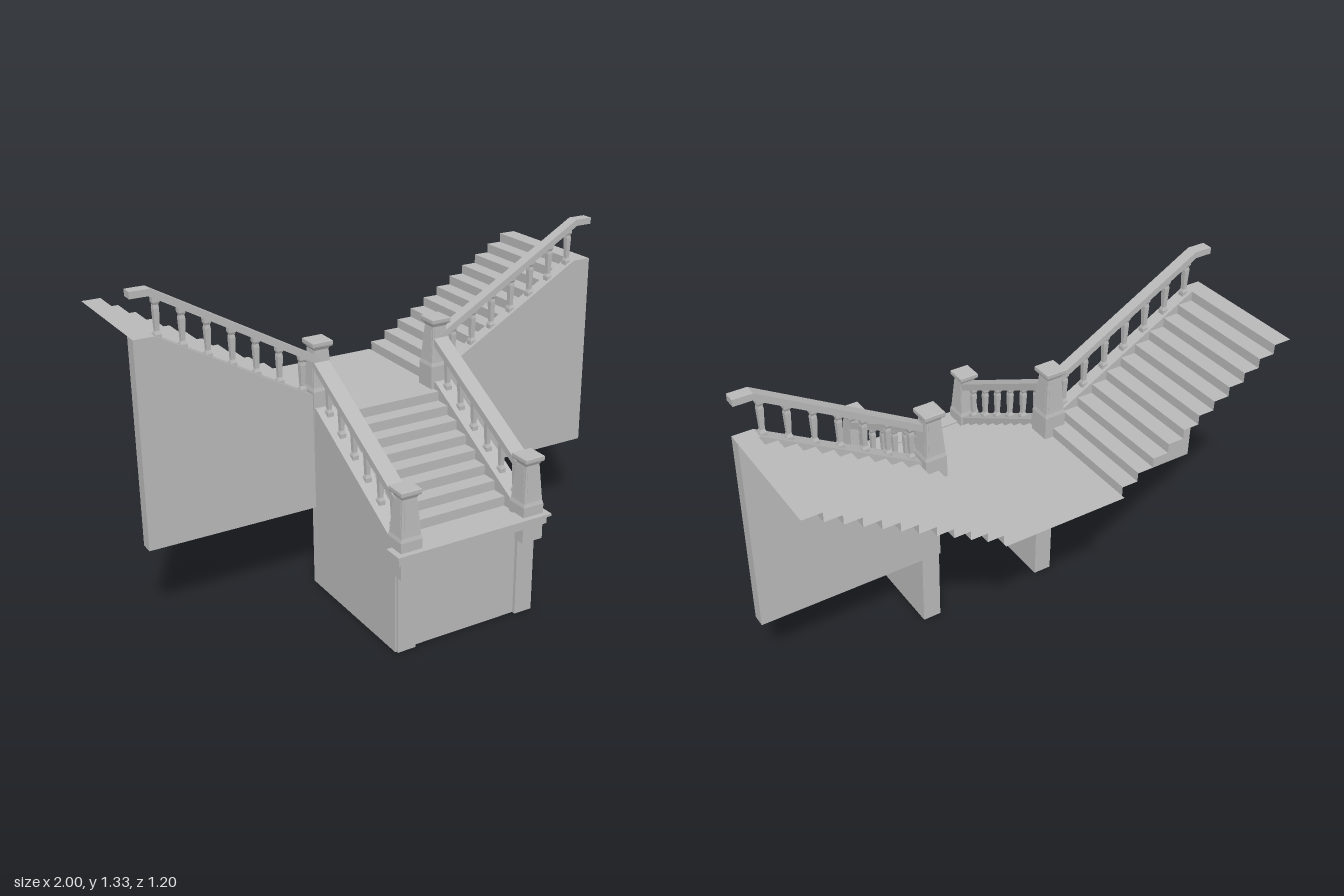
import * as THREE from 'three';

export function createModel() {
  const group = new THREE.Group();
  const stone = new THREE.MeshStandardMaterial({ color: 0xb8b8b8, side: THREE.DoubleSide });
  stone.name = 'grey stone';

  function add(name, geo, x = 0, y = 0, z = 0) {
    const m = new THREE.Mesh(geo, stone);
    m.name = name;
    m.position.set(x, y, z);
    group.add(m);
    return m;
  }
  // box given by its limits
  function block(name, x0, x1, y0, y1, z0, z1) {
    add(name, new THREE.BoxGeometry(Math.abs(x1 - x0), y1 - y0, z1 - z0), (x0 + x1) / 2, (y0 + y1) / 2, (z0 + z1) / 2);
  }
  // profile in (x, y), extruded along z
  function slabXY(name, pts, z0, z1) {
    const shape = new THREE.Shape(pts.map(p => new THREE.Vector2(p[0], p[1])));
    add(name, new THREE.ExtrudeGeometry(shape, { depth: z1 - z0, bevelEnabled: false }), 0, 0, z0);
  }
  // profile in (z, y), extruded along x
  function slabZY(name, pts, xc, width) {
    const shape = new THREE.Shape(pts.map(p => new THREE.Vector2(p[0], p[1])));
    const geo = new THREE.ExtrudeGeometry(shape, { depth: width, bevelEnabled: false });
    geo.rotateY(-Math.PI / 2);
    add(name, geo, xc + width / 2, 0, 0);
  }
  // square turned post from [half width, height] pairs
  function post(name, profile, x, y, z, sx = 1, sz = 1) {
    const pts = profile.map(p => new THREE.Vector2(p[0] * Math.SQRT2, p[1]));
    let geo = new THREE.LatheGeometry(pts, 4, Math.PI / 4);
    geo.scale(sx, 1, sz);
    geo = geo.toNonIndexed();
    geo.computeVertexNormals();
    add(name, geo, x, y, z);
  }
  // thin folded sheet: profile points swept between two widths
  function sheet(name, pts, w0, w1, place) {
    const pos = [];
    for (let i = 0; i < pts.length - 1; i++) {
      const [a, b] = [pts[i], pts[i + 1]];
      const q = [place(...a, w0), place(...a, w1), place(...b, w1), place(...b, w0)];
      for (const k of [0, 1, 2, 0, 2, 3]) pos.push(...q[k]);
    }
    const geo = new THREE.BufferGeometry();
    geo.setAttribute('position', new THREE.Float32BufferAttribute(pos, 3));
    geo.computeVertexNormals();
    add(name, geo);
  }
  function baluster(x, y0, y1, z) {
    const h = y1 - y0;
    post('baluster', [[0, 0], [0.013, 0], [0.013, h * 0.12], [0.008, h * 0.2], [0.011, h * 0.72],
      [0.009, h * 0.8], [0.013, h * 0.86], [0.013, h], [0, h]], x, y0, z);
  }
  // newel post with raised panels and cap; top at y = top
  function newel(name, x, z, top, bottom) {
    const b = bottom - top;
    post(name, [[0, b], [0.045, b], [0.045, -0.195], [0.041, -0.18], [0.030, -0.035], [0.034, -0.027],
      [0.041, -0.022], [0.043, -0.016], [0.043, -0.003], [0.040, 0], [0, 0]], x, top, z);
    const panel = [[0.0405, -0.165], [0.033, -0.045]];
    post(name + 'Panel', panel, x, top, z, 0.72, 1);
    post(name + 'Panel', panel, x, top, z, 1, 0.72);
  }

  // lower flight: treads and risers as one folded sheet
  const low = [[0.59, 0.42]];
  const rise = 0.31 / 8;
  for (let i = 0; i < 8; i++) {
    const z = 0.44 - i * 0.0657;
    low.push([z, 0.42 + i * rise], [z, 0.42 + (i + 1) * rise]);
  }
  low.push([-0.11, 0.73]);
  sheet('lowerStairs', low, -0.235, 0.235, (z, y, x) => [x, y, z]);

  // landing
  sheet('landing', [[-0.11, 0.73], [-0.6, 0.73]], -0.257, 0.257, (z, y, x) => [x, y, z]);

  // front step and panel
  block('frontStep', -0.325, 0.325, 0.383, 0.416, 0.515, 0.583);
  block('frontStepLip', -0.335, 0.335, 0.416, 0.426, 0.515, 0.597);
  block('frontPanel', -0.235, 0.235, 0, 0.4, 0.51, 0.525);

  for (const s of [1, -1]) {
    // lower side wall and front pillar
    slabZY('lowerWall', [[0.53, 0], [0.53, 0.43], [0.485, 0.46], [-0.04, 0.76], [-0.088, 0.76], [-0.088, 0]], s * 0.27, 0.076);
    block('frontPillar', s * 0.225, s * 0.302, 0, 0.33, 0.48, 0.54);

    // newel posts
    newel('lowerNewel', s * 0.267, 0.53, 0.66, 0.32);
    newel('upperNewel', s * 0.265, -0.098, 1.018, 0.68);

    // lower handrail and balusters
    slabZY('lowerRail', [[0.52, 0.611], [0.52, 0.58], [-0.08, 0.916], [-0.08, 0.947]], s * 0.268, 0.064);
    for (let i = 0; i < 6; i++) {
      const z = 0.457 - i * 0.0935;
      const y = 0.46 + (0.485 - z) * 0.571;
      baluster(s * 0.268, y - 0.01, y + 0.15, z);
    }

    // upper flight
    const up = [];
    for (let i = 0; i < 11; i++) {
      const x = 0.257 + i * 0.0668;
      up.push([s * x, 0.73 + i * 0.425 / 11], [s * x, 0.73 + (i + 1) * 0.425 / 11]);
    }
    up.push([s, 1.155]);
    const w = s > 0 ? [-0.11, -0.585] : [-0.585, -0.11];
    sheet('upperStairs', up, w[0], w[1], (x, y, z) => [x, y, z]);

    // upper wall
    slabXY('upperWall', [[0.24, 0.34], [1, 0.34], [1, 1.155], [0.92, 1.155], [0.3, 0.805], [0.24, 0.775]]
      .map(p => [s * p[0], p[1]]), -0.113, -0.06);

    // upper handrail with level end, and balusters
    slabXY('upperRail', [[0.27, 0.952], [0.925, 1.326], [1, 1.326], [1, 1.3], [0.93, 1.3], [0.27, 0.922]]
      .map(p => [s * p[0], p[1]]), -0.11, -0.063);
    for (let i = 0; i < 7; i++) {
      const x = 0.34 + i * 0.0935;
      const y = 0.805 + (x - 0.3) * 0.565;
      baluster(s * x, y - 0.01, y + 0.148, -0.087);
    }
  }
  return group;
}
